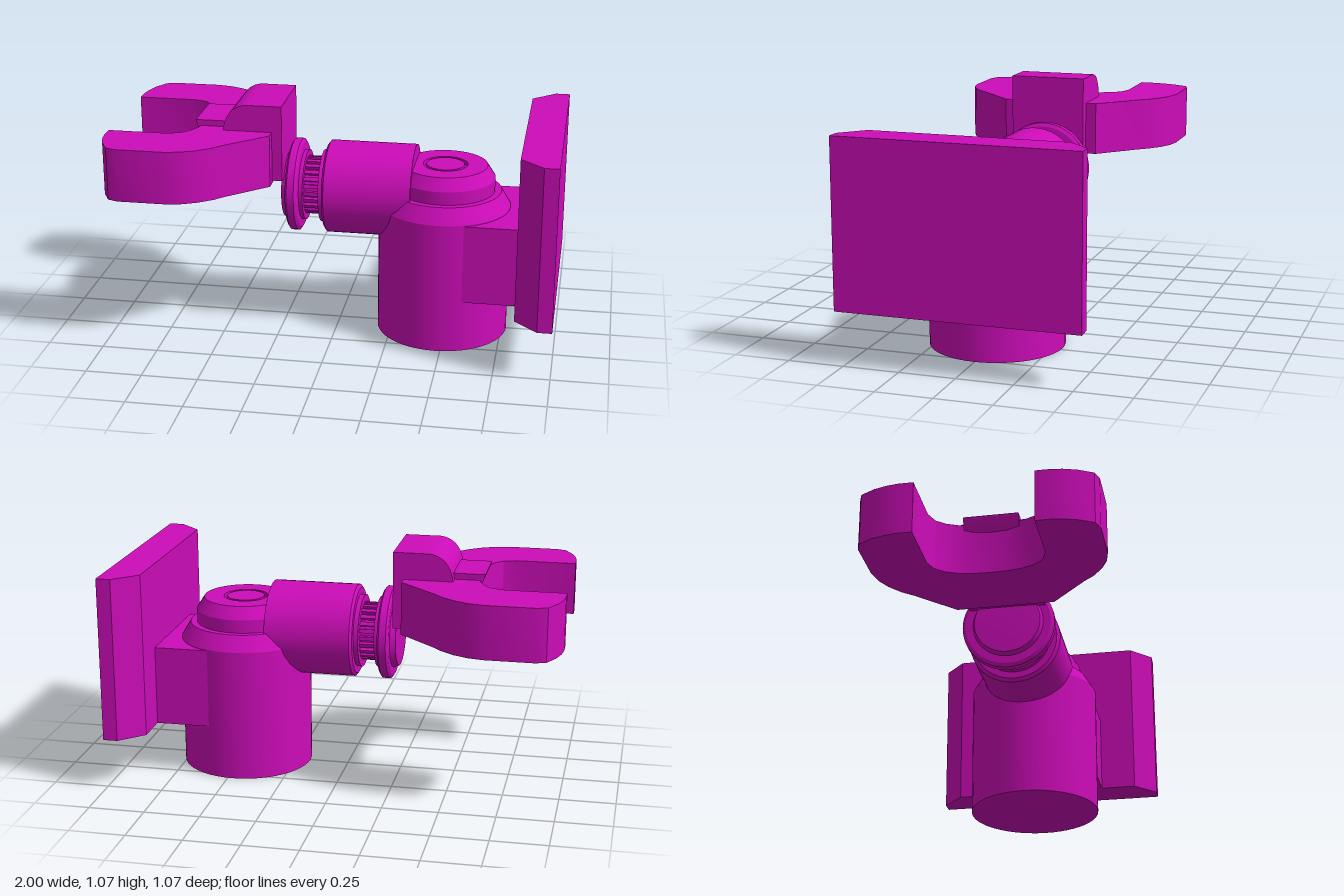
import * as THREE from 'three';
import { toCreasedNormals } from 'three/addons/utils/BufferGeometryUtils.js';

const material = new THREE.MeshStandardMaterial({ color: 0xcc0cb8 });

function part(name, geometry, x = 0, y = 0, z = 0) {
  const mesh = new THREE.Mesh(toCreasedNormals(geometry, 0.5), material);
  mesh.name = name;
  mesh.position.set(x, y, z);
  return mesh;
}

// Profile pairs are [radius, height], listed from bottom to top
const turned = (pairs) =>
  new THREE.LatheGeometry(pairs.map(([r, h]) => new THREE.Vector2(r, h)), 48);

const turnedAlongX = (pairs) => turned(pairs).rotateZ(-Math.PI / 2);

// Plan outline given as [x, z], raised along y
function slab(shape, height) {
  return new THREE.ExtrudeGeometry(shape, { depth: height, bevelEnabled: false, curveSegments: 10 })
    .rotateX(-Math.PI / 2);
}

// Side outline in x and y, centred across z
function sideBlock(shape, width) {
  return new THREE.ExtrudeGeometry(shape, { depth: width, bevelEnabled: false, curveSegments: 10 })
    .translate(0, 0, -width / 2);
}

const polygon = (pairs) => new THREE.Shape(pairs.map(([x, y]) => new THREE.Vector2(x, y)));

export function createModel() {
  const model = new THREE.Group();
  model.name = 'clawArm';

  // Upright body with stepped, chamfered cap and a ring groove on top
  model.add(part('body', turned([
    [0, 0], [0.297, 0], [0.297, 0.6], [0.255, 0.67], [0.225, 0.67], [0.225, 0.73],
    [0.19, 0.785], [0.1, 0.785], [0.1, 0.765], [0.085, 0.765], [0.085, 0.785], [0, 0.785],
  ]), 0.477));

  // Back plate with chamfered inner edges, and its bracket
  model.add(part('bracket', new THREE.BoxGeometry(0.3, 0.36, 0.55), 0.69, 0.415));
  model.add(part('plate', slab(polygon([
    [0.832, -0.437], [0.935, -0.535], [1, -0.535], [1, 0.535], [0.935, 0.535], [0.832, 0.437],
  ]), 0.74), 0, 0.235));

  // Horizontal barrel, grooved neck and flange
  model.add(part('barrel', turnedAlongX([
    [0, -0.25], [0.15, -0.245], [0.16, -0.22], [0.195, -0.22], [0.21, -0.21], [0.21, -0.178],
    [0.195, -0.168], [0.16, -0.165], [0.16, -0.148], [0.115, -0.148], [0.115, -0.077],
    [0.165, -0.077], [0.165, -0.056], [0.195, -0.056], [0.21, -0.045], [0.21, 0.343], [0, 0.343],
  ]), 0, 0.65));

  // Ratchet teeth around the neck
  const teeth = new THREE.Group();
  teeth.name = 'neckTeeth';
  const count = 24;
  for (let i = 0; i < count; i++) {
    const a = (i / count) * Math.PI * 2;
    const tooth = part('tooth', new THREE.BoxGeometry(0.075, 0.03, 0.018),
      -0.1125, 0.65 + Math.cos(a) * 0.117, Math.sin(a) * 0.117);
    tooth.rotation.x = a;
    teeth.add(tooth);
  }
  model.add(teeth);

  // Two-fingered claw, drawn as one half and mirrored
  const half = [
    [-0.28, 0.22], [-0.45, 0.38], [-0.49, 0.425], [-0.55, 0.47], [-0.61, 0.498], [-0.68, 0.512],
    [-0.895, 0.512], [-0.94, 0.495], [-0.975, 0.43], [-0.993, 0.37], [-1, 0.32], [-1, 0.255],
    [-0.735, 0.255], [-0.675, 0.235], [-0.64, 0.195], [-0.615, 0.14], [-0.603, 0.07],
  ];
  const mirrored = half.map(([x, z]) => [x, -z]).reverse();
  model.add(part('claw', slab(polygon([...half, [-0.6, 0], ...mirrored]), 0.237), 0, 0.708));

  // Wrist block with a rounded top edge
  const wrist = new THREE.Shape();
  wrist.moveTo(-0.5, 0.72);
  wrist.lineTo(-0.235, 0.72);
  wrist.lineTo(-0.235, 1.065);
  wrist.lineTo(-0.395, 1.065);
  wrist.quadraticCurveTo(-0.485, 1.055, -0.5, 0.945);
  wrist.closePath();
  model.add(part('wristBlock', sideBlock(wrist, 0.344)));

  // Small tongue over the palm, curved underneath
  const tongue = new THREE.Shape();
  tongue.moveTo(-0.48, 0.85);
  tongue.lineTo(-0.48, 0.972);
  tongue.lineTo(-0.635, 0.972);
  tongue.quadraticCurveTo(-0.62, 0.88, -0.48, 0.85);
  model.add(part('tongue', sideBlock(tongue, 0.245)));

  return model;
}
